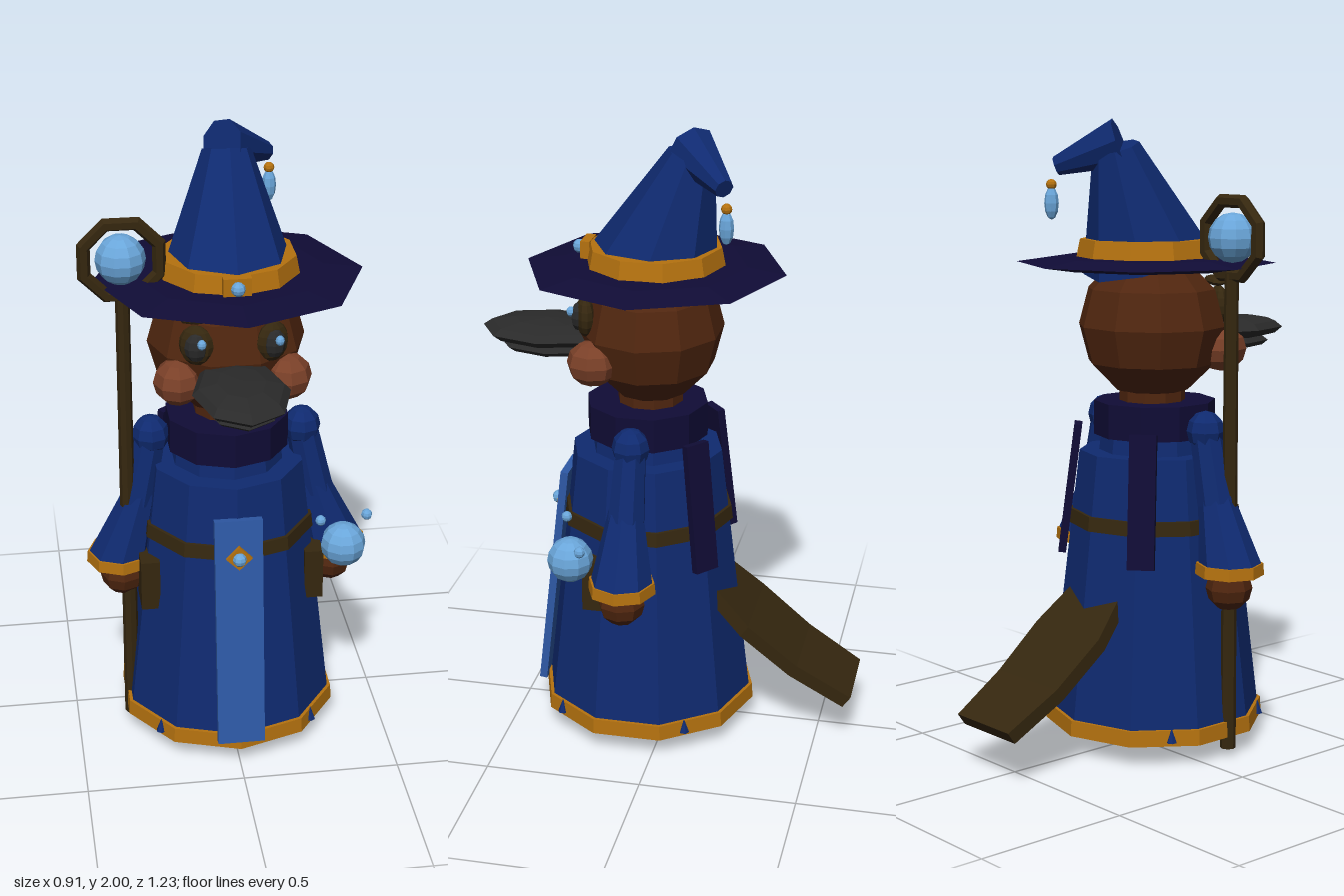
import * as THREE from 'three';

const COLORS = {
  robeBlue: 0x0f2a70, navy: 0x100c36, gold: 0xb5720f, fur: 0x50260f, cheek: 0x7a4028,
  bill: 0x2a2a2a, wood: 0x35270f, panelBlue: 0x2e59a6, crystal: 0x6aa6da,
};
const Z = 0.08; // body axis depth

export function createModel() {
  const root = new THREE.Group();
  root.name = 'wizardFigure';
  const mat = {};
  for (const [name, color] of Object.entries(COLORS)) {
    mat[name] = new THREE.MeshStandardMaterial({ color });
    mat[name].name = name;
  }

  // Faceted mesh at a position
  function add(name, geo, color, x = 0, y = 0, z = 0) {
    const flat = geo.index ? geo.toNonIndexed() : geo;
    flat.computeVertexNormals();
    const mesh = new THREE.Mesh(flat, mat[color]);
    mesh.name = name;
    mesh.position.set(x, y, z);
    root.add(mesh);
    return mesh;
  }
  // Upright frustum between two heights
  function drum(name, color, y0, y1, r0, r1, x = 0, z = Z, sides = 10) {
    return add(name, new THREE.CylinderGeometry(r1, r0, y1 - y0, sides), color, x, (y0 + y1) / 2, z);
  }
  // Ellipsoid
  function ball(name, color, x, y, z, rx, ry = rx, rz = rx, w = 8, h = 6) {
    return add(name, new THREE.SphereGeometry(1, w, h).scale(rx, ry, rz), color, x, y, z);
  }
  // Tapered rod between two points
  function limb(name, color, a, b, r0, r1, sides = 8) {
    const p = new THREE.Vector3(...a), d = new THREE.Vector3(...b).sub(p);
    const m = add(name, new THREE.CylinderGeometry(r1, r0, d.length(), sides), color);
    m.position.copy(p).addScaledVector(d, 0.5);
    m.quaternion.setFromUnitVectors(new THREE.Vector3(0, 1, 0), d.normalize());
    return m;
  }
  function box(name, color, x, y, z, w, h, d) {
    return add(name, new THREE.BoxGeometry(w, h, d), color, x, y, z);
  }

  // Robe, hem, belt and collar
  drum('robeHem', 'gold', 0.07, 0.12, 0.355, 0.352);
  drum('robe', 'robeBlue', 0.11, 0.96, 0.342, 0.242);
  drum('robeYoke', 'robeBlue', 0.95, 1.03, 0.18, 0.17);
  drum('belt', 'wood', 0.725, 0.77, 0.28, 0.275);
  drum('scarfCollar', 'navy', 1.01, 1.12, 0.195, 0.195);
  for (const [x, z] of [[0.245, 0.315], [0.285, -0.1]]) for (const s of [1, -1]) {
    add('hemDrop', new THREE.ConeGeometry(0.017, 0.045, 6), 'robeBlue', s * x, 0.105, z);
  }

  // Front panel with its diamond clasp
  const panel = box('frontPanel', 'panelBlue', 0, 0.483, 0.385, 0.15, 0.77, 0.025);
  panel.rotation.x = -Math.atan2(0.09, 0.765);
  const clasp = box('beltClasp', 'gold', 0, 0.745, 0.366, 0.058, 0.058, 0.02);
  clasp.rotation.z = Math.PI / 4;
  ball('beltGem', 'crystal', 0, 0.745, 0.38, 0.022);

  // Scarf ends hanging down the back
  for (const s of [1, -1]) {
    const end = box('scarfEnd', 'navy', 0, 0, 0, 0.085, 0.42, 0.025);
    const a = s * 2.44;
    end.rotation.order = 'YXZ';
    end.rotation.set(-0.13, a, 0);
    end.position.set(Math.sin(a) * 0.272, 0.835, Z + Math.cos(a) * 0.272);
  }

  // Feet with three toes
  for (const s of [1, -1]) {
    ball('foot', 'bill', s * 0.13, 0.042, 0.11, 0.09, 0.032, 0.12, 8, 6);
    for (const t of [-0.066, 0, 0.066]) {
      ball('toe', 'bill', s * 0.13 + t, 0.038, t ? 0.225 : 0.245, 0.034);
    }
  }

  // Arms: shoulder, upper sleeve, flared sleeve with cuff, hand, pouch
  for (const s of [1, -1]) {
    ball('shoulder', 'robeBlue', s * 0.24, 1.045, Z, 0.06, 0.065, 0.06);
    limb('upperSleeve', 'robeBlue', [s * 0.24, 1.04, Z], [s * 0.285, 0.82, 0.085], 0.05, 0.06);
    const flare = new THREE.CylinderGeometry(0.055, 0.1, 0.22, 8);
    flare.applyMatrix4(new THREE.Matrix4().set(
      1, -s * 0.32, 0, 0, 0, 1, 0, 0, 0, 0, 1, 0, 0, 0, 0, 1));
    add('flaredSleeve', flare, 'robeBlue', s * 0.315, 0.74, 0.087);
    drum('cuff', 'gold', 0.605, 0.642, 0.108, 0.105, s * 0.345, 0.087, 8);
    ball('hand', 'fur', s * 0.34, 0.56, 0.09, 0.072, 0.072, 0.075);
    box('pouch', 'wood', s * 0.262, 0.58, 0.17, 0.06, 0.17, 0.12);
  }

  // Neck and head
  drum('neck', 'fur', 1.08, 1.22, 0.105, 0.105, 0, 0.07);
  ball('head', 'fur', 0, 1.36, 0.065, 0.245, 0.235, 0.228, 10, 6);
  ball('upperBill', 'bill', 0, 1.328, 0.4, 0.147, 0.04, 0.215);
  ball('lowerBill', 'bill', 0, 1.285, 0.385, 0.115, 0.03, 0.175);
  for (const s of [1, -1]) {
    ball('cheek', 'cheek', s * 0.168, 1.288, 0.215, 0.075, 0.072, 0.082);
    const rim = ball('eyeRim', 'wood', s * 0.115, 1.42, 0.25, 0.054, 0.064, 0.03, 10, 8);
    rim.rotation.y = s * 0.4;
    ball('eye', 'bill', s * 0.117, 1.42, 0.268, 0.036, 0.046, 0.026);
    ball('eyeGlint', 'crystal', s * 0.117 + 0.014, 1.438, 0.291, 0.014, 0.016, 0.014);
    const brow = ball('eyebrow', 'wood', s * 0.115, 1.5, 0.235, 0.056, 0.015, 0.03);
    brow.rotation.z = -s * 0.12;
    brow.rotation.y = s * 0.4;
  }

  // Hat: brim, band, leaning crown and folded tip
  ball('hatBrim', 'navy', 0.01, 1.56, 0.05, 0.415, 0.025, 0.408, 8, 4);
  drum('hatBand', 'gold', 1.565, 1.635, 0.222, 0.208, 0.01, 0.05);
  limb('hatCrown', 'robeBlue', [0.01, 1.57, 0.05], [0.02, 1.92, -0.065], 0.205, 0.075);
  limb('hatTip', 'robeBlue', [0.005, 1.935, -0.06], [0.16, 1.862, -0.19], 0.078, 0.03);
  box('hatBuckle', 'gold', 0.005, 1.61, 0.265, 0.085, 0.055, 0.03);
  ball('hatGem', 'crystal', 0.005, 1.61, 0.292, 0.022);
  ball('charmBead', 'gold', 0.172, 1.805, -0.2, 0.017);
  ball('charmCrystal', 'crystal', 0.172, 1.747, -0.2, 0.023, 0.052, 0.023);

  // Staff with an eight-sided ring and its orb
  limb('staff', 'wood', [-0.32, 0.03, 0.11], [-0.32, 1.54, 0.11], 0.025, 0.022);
  const ring = add('staffRing', new THREE.TorusGeometry(0.122, 0.022, 6, 8), 'wood', -0.32, 1.648, 0.11);
  ring.rotation.z = Math.PI / 8;
  ball('staffOrb', 'crystal', -0.323, 1.65, 0.11, 0.077, 0.077, 0.077, 10, 8);

  // Floating orb and sparks by the left hand
  ball('handOrb', 'crystal', 0.35, 0.7, 0.25, 0.072, 0.072, 0.072, 10, 8);
  ball('spark', 'crystal', 0.435, 0.77, 0.197, 0.018);
  ball('spark', 'crystal', 0.27, 0.807, 0.28, 0.017);

  // Flat paddle tail: a slab bent along a few stations [y, z, half width]
  const stations = [[0.53, -0.13, 0.11], [0.4, -0.27, 0.153], [0.27, -0.43, 0.145], [0.165, -0.605, 0.128]];
  const tail = new THREE.BoxGeometry(2, 0.045, 3, 1, 1, 3);
  const p = tail.attributes.position;
  for (let i = 0; i < p.count; i++) {
    const [y, z, w] = stations[Math.round(1.5 - p.getZ(i))];
    const h = p.getY(i);
    p.setXYZ(i, 0.005 + p.getX(i) * w, y + h * 0.82, z - h * 0.57);
  }
  add('tail', tail, 'wood');

  return root;
}
